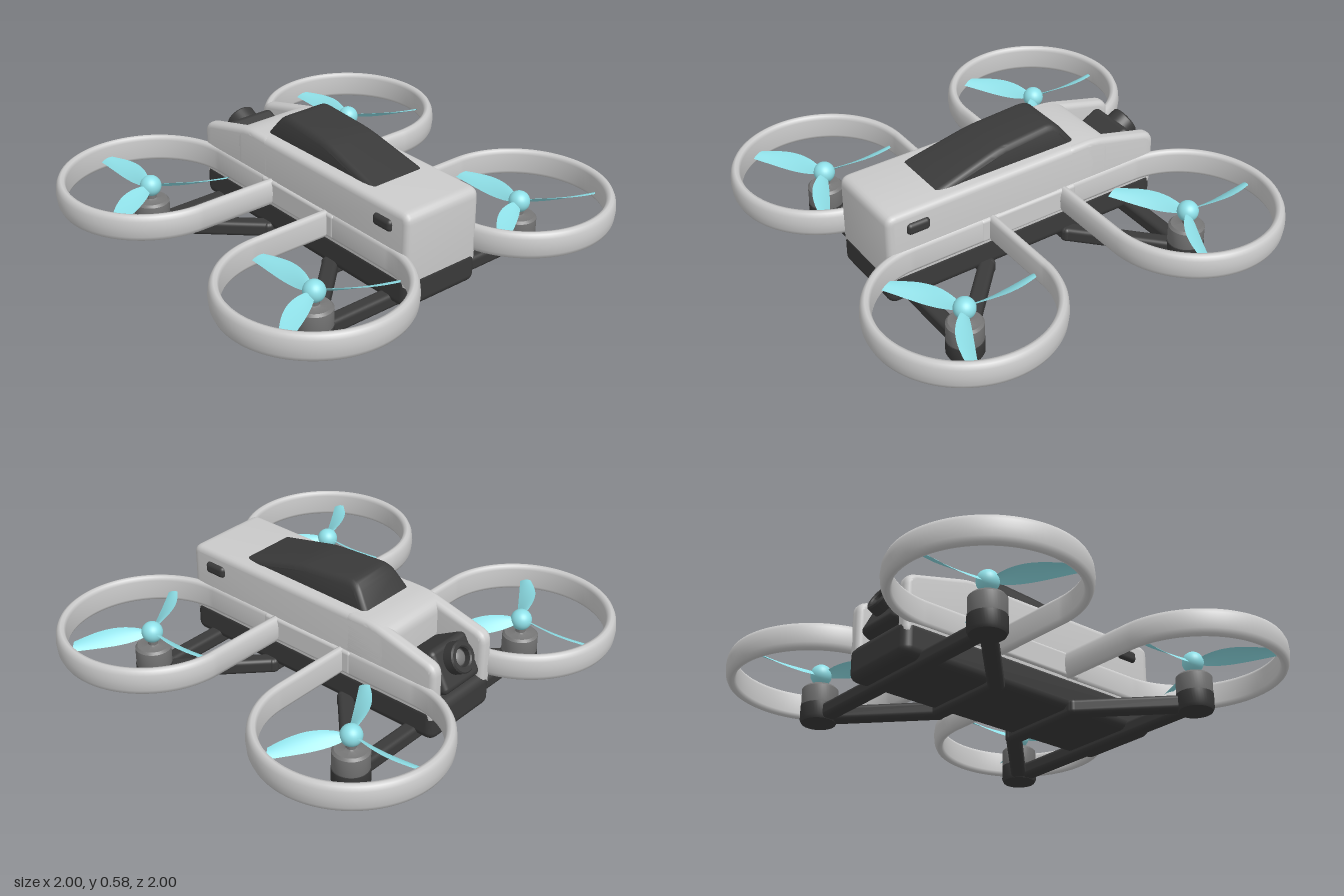
import * as THREE from 'three';
import { toCreasedNormals } from 'three/addons/utils/BufferGeometryUtils.js';
import { RoundedBoxGeometry } from 'three/addons/geometries/RoundedBoxGeometry.js';

const grey = new THREE.MeshStandardMaterial({ color: 0xcccccc });
const dark = new THREE.MeshStandardMaterial({ color: 0x3a3a3a });
const metal = new THREE.MeshStandardMaterial({ color: 0x777777 });
const cyan = new THREE.MeshStandardMaterial({ color: 0x8fe0e8, side: THREE.DoubleSide });

function add(parent, name, geometry, material, x = 0, y = 0, z = 0) {
  const mesh = new THREE.Mesh(geometry, material);
  mesh.name = name;
  mesh.position.set(x, y, z);
  parent.add(mesh);
  return mesh;
}

const box = (w, h, d, r) => new RoundedBoxGeometry(w, h, d, 4, r);

const lathe = (points) => toCreasedNormals(
  new THREE.LatheGeometry(points.map(([x, y]) => new THREE.Vector2(x, y)), 40), 0.7);

// Side profile of [z, y] corners, rounded, extruded across x with a soft bevel
function sideExtrude(corners, width, round, bevel) {
  const pts = corners.map(([z, y]) => new THREE.Vector2(z, y));
  const shape = new THREE.Shape();
  pts.forEach((p, i) => {
    const prev = pts[(i + pts.length - 1) % pts.length];
    const next = pts[(i + 1) % pts.length];
    const toward = (q) => p.clone().add(
      q.clone().sub(p).setLength(Math.min(round, q.distanceTo(p) * 0.45)));
    const a = toward(prev), b = toward(next);
    if (i === 0) shape.moveTo(a.x, a.y); else shape.lineTo(a.x, a.y);
    shape.quadraticCurveTo(p.x, p.y, b.x, b.y);
  });
  shape.closePath();
  const depth = width - 2 * bevel;
  const g = new THREE.ExtrudeGeometry(shape, {
    depth, curveSegments: 5, bevelSize: bevel, bevelThickness: bevel,
    bevelOffset: -bevel, bevelSegments: 4,
  });
  g.translate(0, 0, -depth / 2).rotateY(-Math.PI / 2);
  return g;
}

// Propeller guard: a wing-like section swept along a three-quarter circle with straight ends
function guardGeometry() {
  const section = [[-0.022, 0.2], [-0.022, 0.285], [-0.014, 0.301], [0, 0.305], [0.012, 0.299],
    [0.021, 0.28], [0.025, 0.245], [0.021, 0.207], [0.012, 0.187], [0, 0.18], [-0.014, 0.184]];
  const c = 0.58, r = 0.393, near = c - r, steps = 72;
  const path = [[0.15, near, 0, -1]];
  for (let i = 0; i <= steps; i++) {
    const a = -Math.PI / 2 + (i / steps) * Math.PI * 1.5;
    path.push([c + r * Math.cos(a), c + r * Math.sin(a), Math.cos(a), Math.sin(a)]);
  }
  path.push([near, 0.15, -1, 0]);
  const pos = [], index = [], n = section.length;
  path.forEach(([x, z, nx, nz], i) => {
    section.forEach(([o, y], j) => {
      pos.push(x + nx * o, y, z + nz * o);
      if (i === path.length - 1) return;
      const a = i * n + j, b = i * n + ((j + 1) % n);
      index.push(a, a + n, b, b, a + n, b + n);
    });
  });
  const g = new THREE.BufferGeometry();
  g.setAttribute('position', new THREE.Float32BufferAttribute(pos, 3));
  g.setIndex(index);
  g.computeVertexNormals();
  return g;
}

// Twisted blade pointing to -z, its +x edge raised
function bladeGeometry() {
  const g = new THREE.PlaneGeometry(2, 1, 6, 16);
  const p = g.attributes.position;
  for (let i = 0; i < p.count; i++) {
    const u = p.getX(i), t = p.getY(i) + 0.5;
    const half = 0.018 + 0.022 * Math.sin(Math.PI * Math.pow(t, 0.8)) + 0.008 * t;
    const pitch = 0.7 - 0.3 * t;
    const center = 0.012 * Math.sin(Math.PI * t) - 0.012 * t * t;
    p.setXYZ(i, center + u * half * Math.cos(pitch),
      u * half * Math.sin(pitch) + 0.006 * (1 - u * u),
      -(0.035 + 0.315 * t - 0.008 * u * t * t));
  }
  g.computeVertexNormals();
  return g;
}

export function createModel() {
  const model = new THREE.Group();
  model.name = 'quadcopter';

  // Hull: full-width body plus two cheeks that leave a camera bay at the back
  const body = sideExtrude([[0.7, 0.12], [0.7, 0.485], [-0.36, 0.485], [-0.445, 0.463],
    [-0.445, 0.12]], 0.4, 0.045, 0.028);
  add(model, 'body', toCreasedNormals(body, 0.6), grey);
  const cheek = toCreasedNormals(sideExtrude([[-0.2, 0.12], [-0.2, 0.485], [-0.36, 0.485],
    [-0.69, 0.4], [-0.69, 0.12]], 0.065, 0.045, 0.024), 0.6);
  add(model, 'bellyPan', box(0.404, 0.16, 1.395, 0.04), dark, 0, 0.12, 0.004);

  // Battery hump, narrowing towards its top
  const hump = sideExtrude([[0.52, 0.46], [0.1, 0.567], [-0.2, 0.59], [-0.31, 0.44],
    [0.52, 0.44]], 0.3, 0.05, 0.025);
  const hp = hump.attributes.position;
  for (let i = 0; i < hp.count; i++) {
    hp.setX(i, hp.getX(i) * (1 - 2.2 * Math.max(0, hp.getY(i) - 0.485)));
  }
  add(model, 'battery', toCreasedNormals(hump, 0.6), dark);

  for (const s of [1, -1]) {
    add(model, 'bayCheek', cheek, grey, s * 0.1675);
    add(model, 'sideRail', box(0.047, 0.115, 0.5, 0.015), grey, s * 0.188, 0.243, 0);
    add(model, 'sideLamp', box(0.04, 0.055, 0.11, 0.019), dark, s * 0.197, 0.403, 0.555);
  }

  // Camera, tilted upward in the rear bay
  const camera = new THREE.Group();
  camera.name = 'camera';
  camera.position.set(0, 0.285, -0.575);
  camera.rotation.x = 0.5;
  model.add(camera);
  add(camera, 'cameraHousing', box(0.24, 0.2, 0.18, 0.025), dark);
  const barrel = lathe([[0.07, 0], [0.07, 0.085], [0.064, 0.092], [0.048, 0.092],
    [0.042, 0.086], [0.042, 0.06], [0, 0.06]]);
  add(camera, 'lensBarrel', barrel, dark, 0, 0.02, -0.05).rotation.x = -Math.PI / 2;
  const glass = add(camera, 'lensGlass', new THREE.SphereGeometry(0.036, 24, 16), metal, 0, 0.02, -0.11);
  glass.scale.z = 0.5;

  // Undercarriage: at each end a beam, two diagonals and a short cross bar
  const bar = (name, x1, z1, x2, z2) => {
    const length = Math.hypot(x2 - x1, z2 - z1) + 0.06;
    const mesh = add(model, name, box(length, 0.07, 0.07, 0.02), dark,
      (x1 + x2) / 2, 0.045, (z1 + z2) / 2);
    mesh.rotation.y = -Math.atan2(z2 - z1, x2 - x1);
  };
  for (const sz of [1, -1]) {
    bar('crossBeam', -0.58, sz * 0.575, 0.58, sz * 0.575);
    bar('crossBar', -0.2, sz * 0.22, 0.2, sz * 0.22);
    for (const sx of [1, -1]) bar('diagonalArm', sx * 0.2, sz * 0.22, sx * 0.56, sz * 0.56);
  }

  // Rotors and guards
  const guard = guardGeometry();
  const blade = bladeGeometry();
  const foot = lathe([[0, 0.003], [0.06, 0.003], [0.075, 0.008], [0.082, 0.022], [0.082, 0.085], [0, 0.085]]);
  const motor = lathe([[0.076, 0.08], [0.08, 0.09], [0.08, 0.165], [0.07, 0.176], [0.03, 0.176],
    [0.022, 0.182], [0.022, 0.225], [0, 0.225]]);
  const hub = new THREE.SphereGeometry(0.048, 28, 20);
  for (let k = 0; k < 4; k++) {
    add(model, 'propellerGuard', guard, grey).rotation.y = k * Math.PI / 2;
    const rotor = new THREE.Group();
    rotor.name = 'rotor';
    rotor.position.set(k % 2 ? 0.58 : -0.58, 0, k < 2 ? 0.58 : -0.58);
    model.add(rotor);
    add(rotor, 'foot', foot, dark);
    add(rotor, 'motor', motor, metal);
    add(rotor, 'hub', hub, cyan, 0, 0.24, 0);
    for (let b = 0; b < 3; b++) {
      add(rotor, 'blade', blade, cyan, 0, 0.24, 0).rotation.y = b * Math.PI * 2 / 3;
    }
  }
  return model;
}
